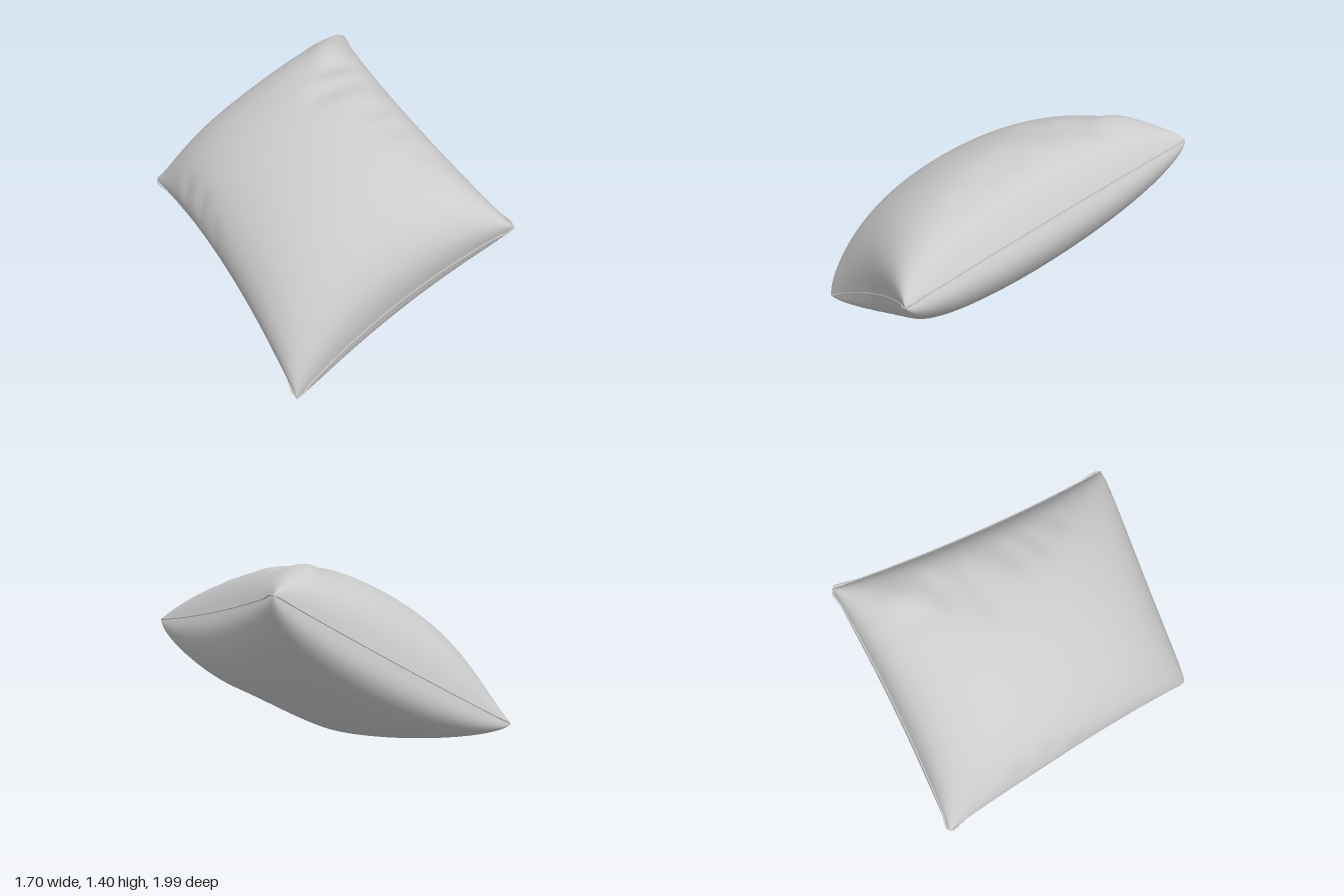
import * as THREE from 'three';

// Seam corners: front right, front left, back left, back right (model's own sides)
const A = new THREE.Vector3(-0.57, 0.01, 0.99);
const B = new THREE.Vector3(0.84, 0.84, 0.98);
const C = new THREE.Vector3(0.625, 1.275, -0.985);
const D = new THREE.Vector3(-0.845, 0.425, -0.97);

const U = B.clone().sub(A).normalize();                       // across the pillow
const V = D.clone().sub(A).normalize();                       // front to back
const NORMAL = new THREE.Vector3().crossVectors(U, V).normalize();

// Point on the seam sheet, its edges drawn inward between the corners
function sheetPoint(s, t) {
  const front = A.clone().lerp(B, (s + 1) / 2);
  const back = D.clone().lerp(C, (s + 1) / 2);
  const p = front.lerp(back, (t + 1) / 2);
  p.addScaledVector(U, -(s < 0 ? 0.085 : 0.04) * s * Math.abs(s) * (1 - t * t));
  p.addScaledVector(V, -(t < 0 ? 0.08 : 0.035) * t * Math.abs(t) * (1 - s * s));
  return p;
}

// Creases run inward from one edge: [place along the edge, reach, height, width]
const LEFT_CREASES = [
  [0.76, 0.42, 0.035, 0.14], [0.52, 0.5, -0.03, 0.07], [0.32, 0.75, -0.03, 0.07],
  [0.02, 0.45, -0.025, 0.06], [-0.17, 0.4, -0.022, 0.06], [-0.4, 0.3, -0.015, 0.06]
];
const RIGHT_CREASES = [[0.52, 0.35, -0.02, 0.06], [0.3, 0.4, -0.02, 0.06], [0.08, 0.3, -0.015, 0.06]];
const FRONT_CREASES = [
  [-0.05, 0.95, -0.045, 0.35],
  [-0.72, 0.4, -0.02, 0.06], [-0.5, 0.5, -0.03, 0.06], [-0.27, 0.4, -0.022, 0.06],
  [-0.06, 0.55, -0.025, 0.07], [0.18, 0.4, -0.02, 0.06], [0.42, 0.35, -0.018, 0.06]
];

// Sum of the creases of an edge; e is 0 at the middle and 1 at that edge
function creaseHeight(creases, e, along) {
  let sum = 0;
  for (const [place, reach, height, width] of creases) {
    const x = Math.max(0, (e - 1 + reach) / reach);
    sum += height * Math.sin(Math.PI * x) ** 2 * Math.exp(-(((along - place) / width) ** 2));
  }
  return sum;
}

// Height of a puffed cushion: smaller powers give fuller edges
function cushion(s, t, height, powerS, powerT) {
  return height * Math.max(0, 1 - s * s) ** powerS * Math.max(0, 1 - t * t) ** powerT;
}

// One half of the cover, raised along the sheet normal by heightRule
function coverHalf(name, side, heightRule, material) {
  const geo = new THREE.PlaneGeometry(2, 2, 64, 64);
  const pos = geo.attributes.position;
  for (let i = 0; i < pos.count; i++) {
    // rows gather towards the seam, where the curve is tightest
    const s = Math.sin(pos.getX(i) * Math.PI / 2);
    const t = Math.sin(pos.getY(i) * Math.PI / 2);
    const p = sheetPoint(s, t).addScaledVector(NORMAL, side * heightRule(s, t));
    pos.setXYZ(i, p.x, p.y, p.z);
  }
  if (side < 0) geo.index.array.reverse();
  geo.computeVertexNormals();
  const mesh = new THREE.Mesh(geo, material);
  mesh.name = name;
  return mesh;
}

// Thin stitched ridge around the rim
function seam(material) {
  const points = [];
  const corners = [[-1, -1], [1, -1], [1, 1], [-1, 1]];
  corners.forEach(([s, t], k) => {
    const [s2, t2] = corners[(k + 1) % 4];
    for (let i = 0; i < 12; i++) {
      const f = i / 12;
      points.push(sheetPoint(s + (s2 - s) * f, t + (t2 - t) * f));
    }
  });
  const path = new THREE.CatmullRomCurve3(points, true);
  const mesh = new THREE.Mesh(new THREE.TubeGeometry(path, 144, 0.006, 6, true), material);
  mesh.name = 'seam';
  return mesh;
}

export function createModel() {
  const group = new THREE.Group();
  group.name = 'pillow';
  const fabric = new THREE.MeshStandardMaterial({ color: 0xcccccc, side: THREE.DoubleSide });

  // The upper cover is slacker towards its back right corner
  const upper = (s, t) => {
    const slack = s < 0 && t > 0 ? 1 - 0.6 * (-s * t) ** 3 : 1;
    return slack * cushion(s, t, 0.55, 0.38, 0.38)
      + creaseHeight(LEFT_CREASES, s, t) + creaseHeight(RIGHT_CREASES, -s, t);
  };
  const lower = (s, t) => cushion(s, t, 0.345, 0.37, 0.3) + creaseHeight(FRONT_CREASES, -t, s);

  group.add(
    coverHalf('upperCover', 1, upper, fabric),
    coverHalf('lowerCover', -1, lower, fabric),
    seam(fabric)
  );
  return group;
}
